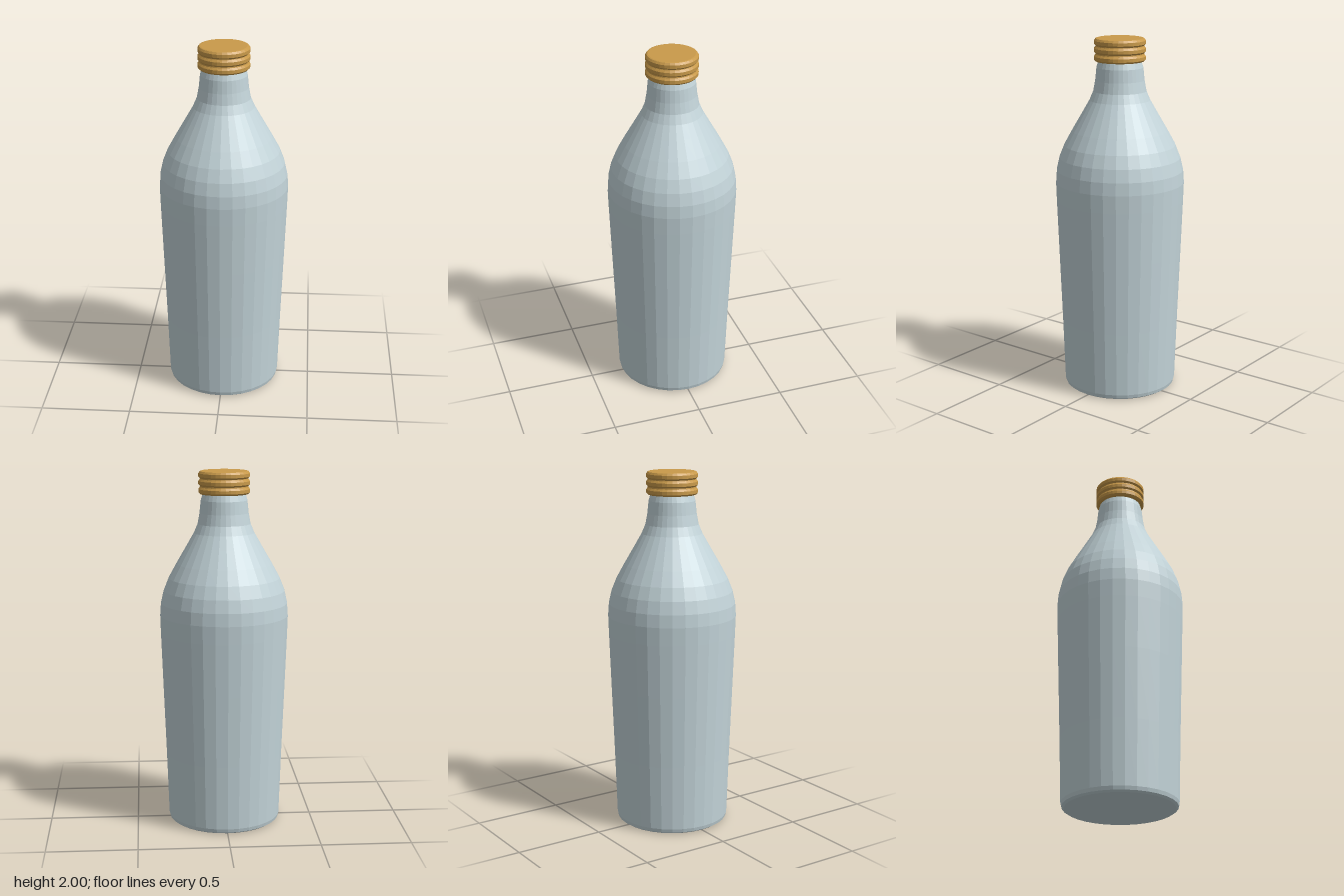
import * as THREE from 'three';

const SIDES = 32;

// Faceted solid of revolution from [radius, height] pairs, bottom to top
function turned(name, profile, material) {
  const points = profile.map(([r, y]) => new THREE.Vector2(r, y));
  const mesh = new THREE.Mesh(new THREE.LatheGeometry(points, SIDES), material);
  mesh.name = name;
  return mesh;
}

export function createModel() {
  const glass = new THREE.MeshStandardMaterial({ color: 0xc3d4d9, flatShading: true });
  glass.name = 'pale blue grey glass';
  const brass = new THREE.MeshStandardMaterial({ color: 0xc99a4a, flatShading: true });
  brass.name = 'golden cap';

  const group = new THREE.Group();
  group.name = 'bottle';

  // Tapered body, rounded shoulder and slim neck, closed below
  group.add(turned('bottleBody', [
    [0, 0.015], [0.27, 0.005], [0.3, 0.006], [0.313, 0.015], [0.318, 0.035],
    [0.33, 0.4], [0.345, 0.8], [0.356, 1.1], [0.359, 1.2], [0.354, 1.27],
    [0.338, 1.34], [0.31, 1.41], [0.266, 1.49], [0.208, 1.59], [0.168, 1.66],
    [0.147, 1.71], [0.136, 1.77], [0.129, 1.84], [0.12, 1.87], [0.11, 1.9],
  ], glass));

  // Screw cap with three rounded ribs and a flat top
  const cap = [[0, 1.872], [0.118, 1.872]];
  for (const y of [1.872, 1.916, 1.958]) {
    cap.push([0.133, y + 0.002], [0.142, y + 0.011], [0.142, y + 0.029], [0.134, y + 0.04]);
  }
  cap.push([0.127, 2], [0, 2]);
  group.add(turned('screwCap', cap, brass));

  return group;
}
